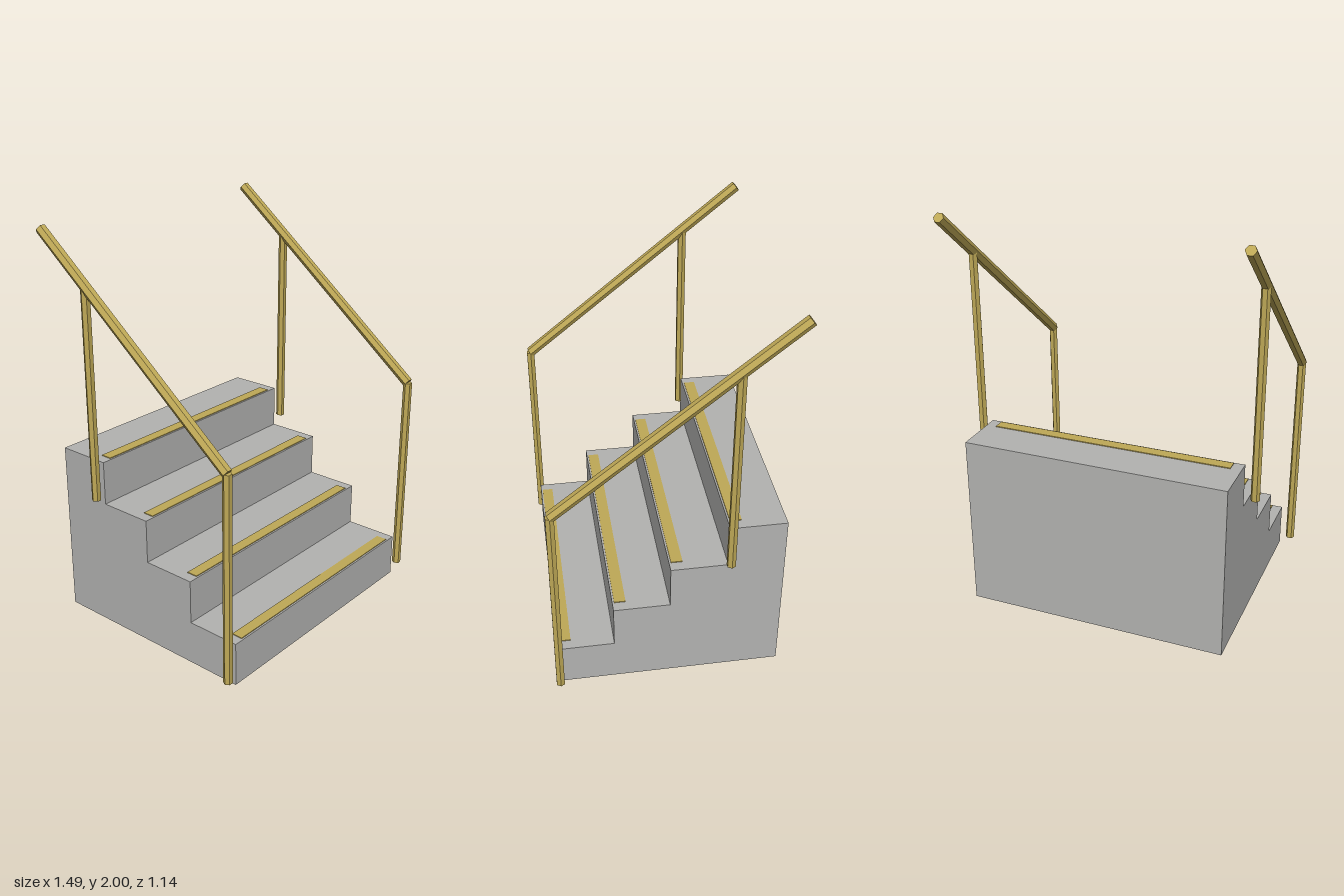
import * as THREE from 'three';

const STEPS = 4, RISE = 0.221, RUN = 0.2755, WIDTH = 1.322;
const FRONT = 0.548, BACK = FRONT - STEPS * RUN;
const RAIL_X = 0.716, RAIL_LOW = 1.098;

export function createModel() {
  const concrete = new THREE.MeshStandardMaterial({ color: 0xb3b3b1 });
  concrete.name = 'concrete grey';
  const brass = new THREE.MeshStandardMaterial({ color: 0xbfa957, flatShading: true });
  brass.name = 'brass yellow';

  const model = new THREE.Group();
  model.name = 'steps with handrails';

  const add = (parent, name, geometry, material, x, y, z) => {
    const mesh = new THREE.Mesh(geometry, material);
    mesh.name = name;
    mesh.position.set(x, y, z);
    parent.add(mesh);
    return mesh;
  };

  // Solid stair block: side profile extruded across the width
  const profile = new THREE.Shape();
  profile.moveTo(BACK, 0);
  profile.lineTo(FRONT, 0);
  for (let i = 0; i < STEPS; i++) {
    profile.lineTo(FRONT - i * RUN, (i + 1) * RISE);
    profile.lineTo(FRONT - (i + 1) * RUN, (i + 1) * RISE);
  }
  const block = new THREE.ExtrudeGeometry(profile, { depth: WIDTH, bevelEnabled: false });
  block.translate(0, 0, -WIDTH / 2).rotateY(-Math.PI / 2);
  add(model, 'stairBlock', block, concrete, 0, 0, 0);

  // Thin nosing strip near the front edge of every tread
  const strip = new THREE.BoxGeometry(1.216, 0.005, 0.056);
  for (let i = 0; i < STEPS; i++) {
    add(model, 'nosingStrip', strip, brass, 0, (i + 1) * RISE + 0.0015, FRONT - i * RUN - 0.037);
  }

  // Hexagonal tube with corners pointing sideways
  const tube = (radius, length) =>
    new THREE.CylinderGeometry(radius, radius, length, 6).rotateY(Math.PI / 6);

  // Handrails: two posts and a sloping rail on each side
  const climb = STEPS * RISE, reach = STEPS * RUN;
  for (const side of [1, -1]) {
    const handrail = new THREE.Group();
    handrail.name = side > 0 ? 'leftHandrail' : 'rightHandrail';
    model.add(handrail);

    for (const [name, step] of [['frontPost', 0], ['backPost', 3]]) {
      const bottom = step * RISE + 0.045;
      const top = RAIL_LOW + step * RISE;
      add(handrail, name, tube(0.0225, top - bottom), brass,
        side * RAIL_X, (top + bottom) / 2, FRONT - step * RUN);
    }

    const rail = add(handrail, 'rail', tube(0.0265, Math.hypot(climb, reach)), brass,
      side * RAIL_X, RAIL_LOW + climb / 2, FRONT - reach / 2);
    rail.rotation.x = -Math.atan2(reach, climb);
  }

  return model;
}
